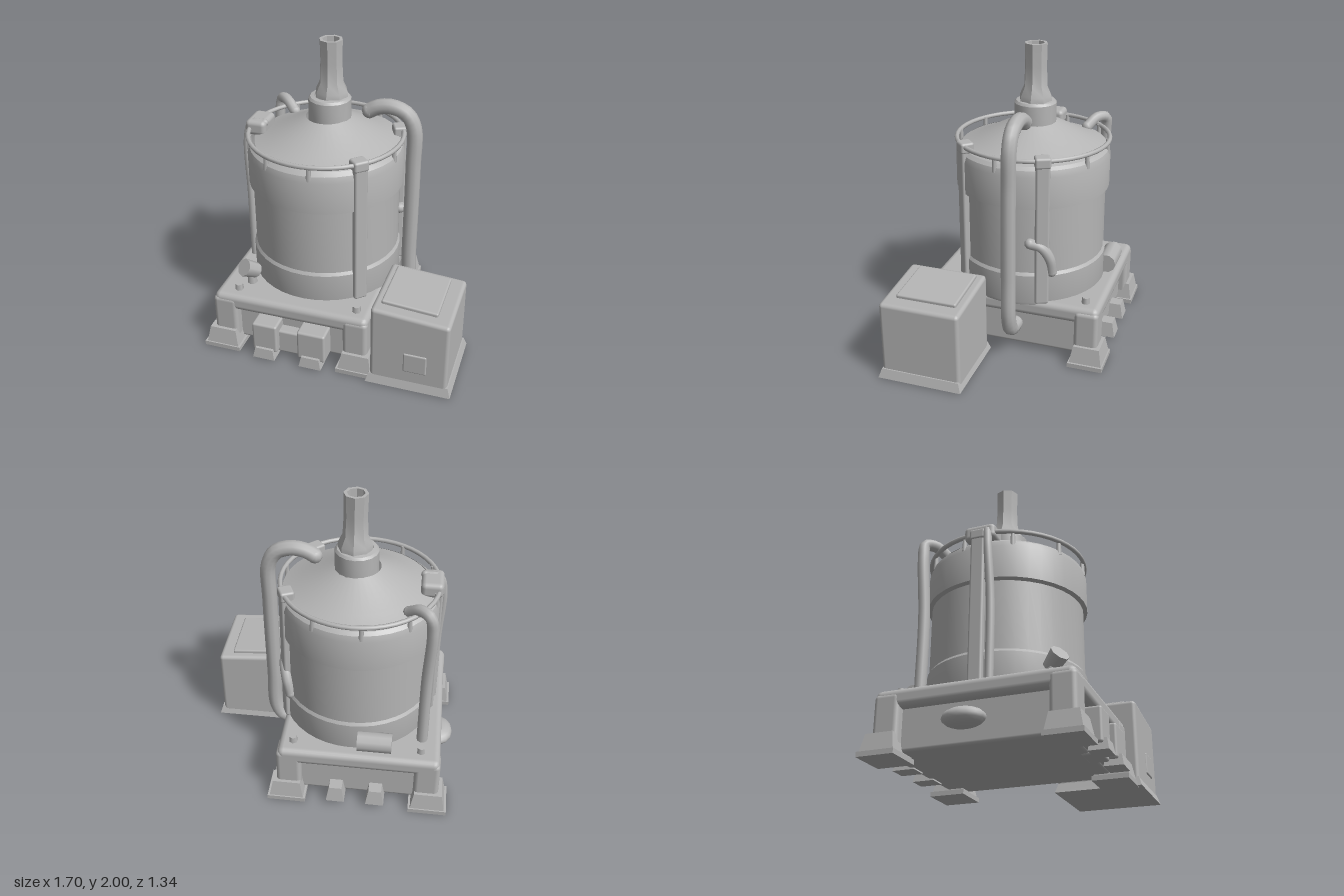
import * as THREE from 'three';
import { toCreasedNormals } from 'three/addons/utils/BufferGeometryUtils.js';
import { RoundedBoxGeometry } from 'three/addons/geometries/RoundedBoxGeometry.js';

const metal = new THREE.MeshStandardMaterial({ color: 0xb5b5b5, side: THREE.DoubleSide });
metal.name = 'greyMetal';

const CX = -0.18, CZ = -0.04; // tank axis

export function createModel() {
  const model = new THREE.Group();
  model.name = 'boilerStill';

  const add = (name, geo, x = 0, y = 0, z = 0, ry = 0) => {
    const mesh = new THREE.Mesh(geo, metal);
    mesh.name = name;
    mesh.position.set(x, y, z);
    mesh.rotation.y = ry;
    model.add(mesh);
    return mesh;
  };
  // rounded box given by its limits
  const block = (name, x0, x1, y0, y1, z0, z1, r = 0.02) =>
    add(name, new RoundedBoxGeometry(x1 - x0, y1 - y0, z1 - z0, 2, r),
      (x0 + x1) / 2, (y0 + y1) / 2, (z0 + z1) / 2);
  // box whose top is scaled by k
  const tapered = (w, h, d, k) => {
    const g = new THREE.BoxGeometry(w, h, d), p = g.attributes.position;
    for (let i = 0; i < p.count; i++)
      if (p.getY(i) > 0) p.setXYZ(i, p.getX(i) * k, p.getY(i), p.getZ(i) * k);
    g.computeVertexNormals();
    return g;
  };
  const turned = (name, pts, x, z, sides = 40) =>
    add(name, toCreasedNormals(new THREE.LatheGeometry(
      pts.map(([r, y]) => new THREE.Vector2(r, y)), sides), 0.5), x, 0, z);
  const pipe = (name, pts, r) => {
    const curve = new THREE.CatmullRomCurve3(pts.map(p => new THREE.Vector3(...p)), false, 'centripetal');
    add(name, new THREE.TubeGeometry(curve, 48, r, 10), 0, 0, 0);
    for (const p of [pts[0], pts[pts.length - 1]])
      add(name + 'End', new THREE.SphereGeometry(r, 10, 8), ...p);
  };

  // Base: core with recessed sides, top slab, flared corner legs
  block('baseCore', -0.71, 0.23, 0.04, 0.34, -0.57, 0.51);
  block('baseSlab', -0.765, 0.285, 0.29, 0.405, -0.625, 0.575, 0.04);
  for (const [x, z] of [[-0.69, 0.5], [0.2, 0.5], [-0.69, -0.545], [0.21, -0.545]]) {
    block('cornerLeg', x - 0.08, x + 0.085, 0.04, 0.38, z - 0.08, z + 0.08, 0.03);
    const sx = x < 0 ? -1 : 1, sz = z < 0 ? -1 : 1;
    add('cornerFoot', tapered(0.23, 0.13, 0.22, 0.78), x + sx * 0.015, 0.075, z + sz * 0.015);
    add('footPad', new THREE.BoxGeometry(0.25, 0.03, 0.23), x + sx * 0.015, 0.015, z + sz * 0.015);
  }

  // Fire doors on the front with a tray between them
  for (const [x0, x1] of [[-0.48, -0.31], [-0.17, 0.02]]) {
    block('fireDoor', x0, x1, 0.05, 0.26, 0.48, 0.63, 0.015);
    add('doorFoot', tapered(0.15, 0.07, 0.12, 0.8), (x0 + x1) / 2, 0.045, 0.6);
  }
  block('doorTray', -0.33, -0.15, 0.03, 0.2, 0.46, 0.58, 0.015);

  // Small fittings on the other sides of the base
  for (const x of [-0.36, -0.1])
    add('backLug', tapered(0.12, 0.1, 0.14, 0.7), x, 0.08, -0.6);
  const valve = add('sideValve', new THREE.SphereGeometry(0.13, 14, 10), -0.75, 0.18, -0.07);
  valve.scale.set(0.75, 0.45, 1);
  const drum = add('backDrum', new THREE.CylinderGeometry(0.065, 0.065, 0.22, 10), -0.34, 0.485, -0.55);
  drum.rotation.z = Math.PI / 2;
  const knob = add('frontValve', new THREE.CylinderGeometry(0.06, 0.05, 0.11, 8), -0.57, 0.52, 0.4);
  knob.rotation.set(0.9, 0, 0.5);
  add('frontValveStem', new THREE.CylinderGeometry(0.025, 0.035, 0.13, 8), -0.57, 0.45, 0.38);
  for (const [x, z] of [[-0.64, -0.52], [0.19, -0.52], [0.19, 0.48], [-0.62, 0.48]])
    add('slabBolt', new THREE.CylinderGeometry(0.025, 0.03, 0.05, 6), x, 0.42, z);

  // Tank with lower and upper bands, and its conical lid
  turned('tank', [[0.49, 0.38], [0.495, 0.4], [0.495, 0.59], [0.482, 0.61], [0.482, 1.05],
    [0.508, 1.06], [0.508, 1.27], [0.495, 1.31], [0.465, 1.335]], CX, CZ);
  turned('lid', [[0.475, 1.335], [0.36, 1.375], [0.14, 1.49]], CX + 0.01, CZ - 0.01);

  // Neck and chimney
  turned('neck', [[0.137, 1.46], [0.137, 1.61], [0.125, 1.625], [0.1, 1.63]], -0.158, -0.06, 16);
  turned('chimney', [[0.108, 1.62], [0.105, 1.66], [0.078, 1.72], [0.072, 1.85], [0.075, 1.995],
    [0.055, 1.995], [0.052, 1.8], [0, 1.8]], -0.147, -0.065, 8);

  // Rail around the lid on short posts
  const rail = add('rail', new THREE.TorusGeometry(0.5, 0.015, 8, 48), CX, 1.375, CZ);
  rail.rotation.x = Math.PI / 2;
  for (let i = 0; i < 10; i++) {
    const a = i * Math.PI / 5 + 0.2;
    add('railPost', new THREE.CylinderGeometry(0.013, 0.018, 0.1, 6),
      CX + 0.49 * Math.cos(a), 1.33, CZ + 0.49 * Math.sin(a));
  }

  // Vertical straps on the tank with a clamp over the rail
  for (const [x, z] of [[0.16, 0.32], [0.285, -0.25], [-0.68, -0.04]]) {
    const a = Math.atan2(x - CX, z - CZ);
    const sx = CX + Math.sin(a) * 0.495, sz = CZ + Math.cos(a) * 0.495;
    add('strap', new RoundedBoxGeometry(0.09, 0.97, 0.05, 2, 0.015), sx, 0.885, sz, a);
    add('strapClamp', new RoundedBoxGeometry(0.1, 0.07, 0.09, 2, 0.015),
      CX + Math.sin(a) * 0.48, 1.365, CZ + Math.cos(a) * 0.48, a);
  }
  block('leftBracket', -0.7, -0.56, 1.33, 1.43, -0.13, 0.07, 0.03);

  // Pipes: large swan-neck on one side, thin ones on the other
  pipe('swanNeckPipe', [[0.25, 0.2, -0.06], [0.34, 0.21, -0.06], [0.385, 0.3, -0.06], [0.39, 0.6, -0.06],
    [0.395, 1.2, -0.065], [0.39, 1.47, -0.07], [0.34, 1.56, -0.07], [0.24, 1.595, -0.07],
    [0.15, 1.58, -0.07], [0.1, 1.55, -0.07]], 0.049);
  pipe('rearPipe', [[-0.64, 0.4, -0.4], [-0.64, 0.9, -0.4], [-0.65, 1.3, -0.42], [-0.63, 1.4, -0.42],
    [-0.57, 1.41, -0.37], [-0.5, 1.36, -0.32]], 0.036);
  pipe('sidePipe', [[-0.69, 0.4, 0.05], [-0.69, 0.9, 0.05], [-0.7, 1.3, 0.03], [-0.67, 1.4, 0.02],
    [-0.58, 1.41, 0.02]], 0.026);
  // Small elbow on the right rear of the tank
  pipe('rearElbow', [[0.24, 0.62, -0.3], [0.26, 0.72, -0.29], [0.28, 0.8, -0.24], [0.29, 0.82, -0.17]], 0.035);

  // Side box with sloping lid and flared plinth
  const boxGeo = new RoundedBoxGeometry(0.5, 0.53, 0.53, 2, 0.025), bp = boxGeo.attributes.position;
  for (let i = 0; i < bp.count; i++)
    if (bp.getY(i) > 0) bp.setY(i, bp.getY(i) - bp.getX(i) * 0.08);
  add('sideBox', boxGeo, 0.573, 0.285, 0.375);
  add('boxPlinth', tapered(0.55, 0.06, 0.56, 0.93), 0.575, 0.035, 0.378);
  const lid = add('boxLid', new RoundedBoxGeometry(0.36, 0.04, 0.4, 2, 0.012), 0.55, 0.555, 0.36);
  lid.rotation.z = -0.08;
  block('boxHatch', 0.54, 0.69, 0.14, 0.28, 0.62, 0.648, 0.01);

  return model;
}
